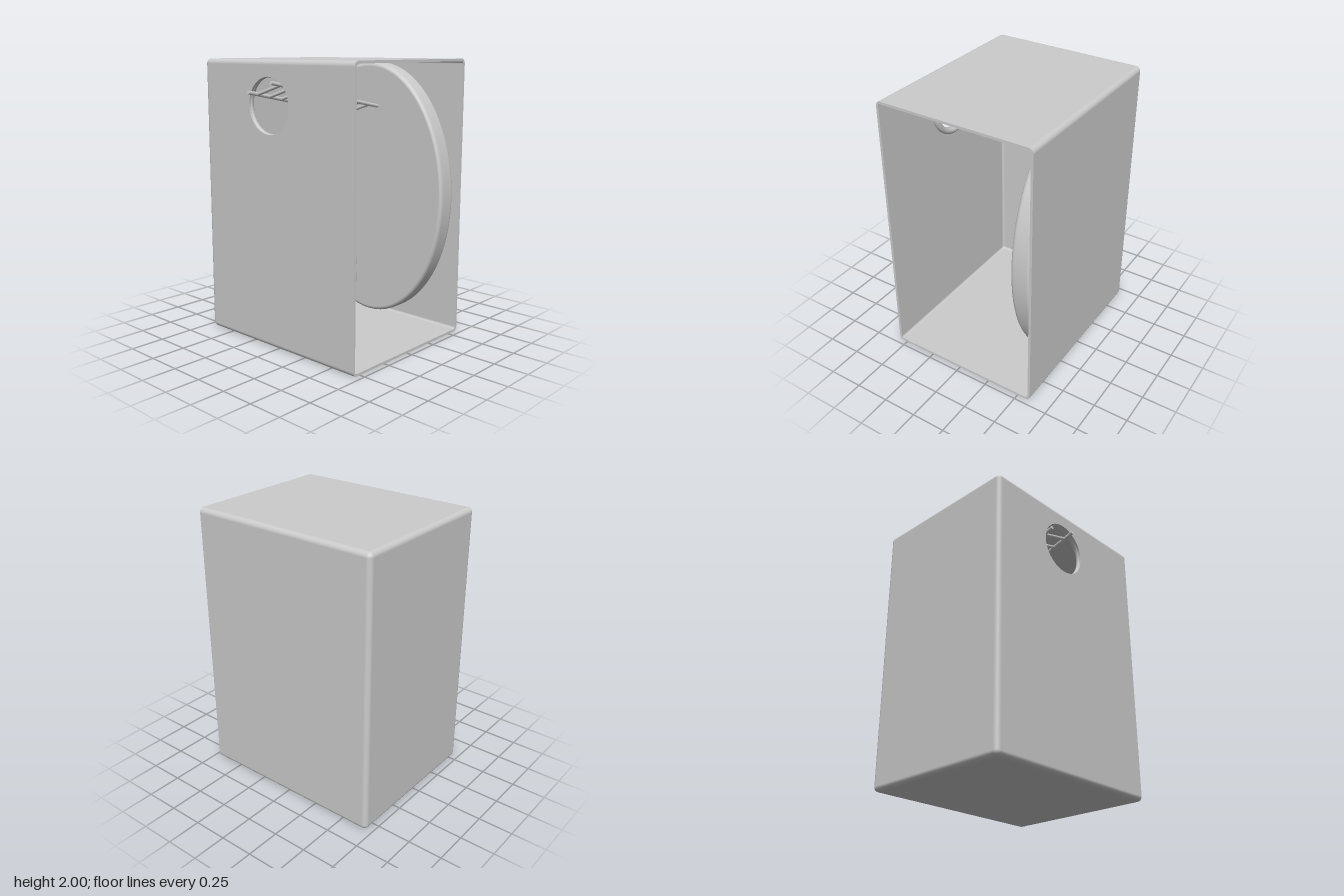
import * as THREE from 'three';
import { RoundedBoxGeometry } from 'three/addons/geometries/RoundedBoxGeometry.js';

const mat = new THREE.MeshStandardMaterial({ color: 0xcccccc });
const sheet = new THREE.MeshStandardMaterial({ color: 0xcccccc, side: THREE.DoubleSide });

const X = 0.71, Z0 = -0.6, Z1 = 0.565;            // room extents
const H = 2, D = Z1 - Z0, ZC = (Z0 + Z1) / 2;
const R = 0.035, T = 0.018;                       // edge radius, wall thickness
const HOLE = { x: -0.05, y: 1.695, r: 0.192 };

function add(parent, name, geo, pos = [0, 0, 0], material = mat) {
  const m = new THREE.Mesh(geo, material);
  m.name = name;
  m.position.set(...pos);
  parent.add(m);
  return m;
}

function box(parent, name, size, pos, r = 0.02) {
  return add(parent, name, new RoundedBoxGeometry(...size, 3, r), pos);
}

// Round bar between two points
function bar(parent, name, a, b, r) {
  const p = new THREE.Vector3(...a), q = new THREE.Vector3(...b);
  const dir = q.clone().sub(p);
  const m = add(parent, name, new THREE.CylinderGeometry(r, r, dir.length(), 10));
  m.position.copy(p).add(q).multiplyScalar(0.5);
  m.quaternion.setFromUnitVectors(new THREE.Vector3(0, 1, 0), dir.normalize());
}

// Rounded box skin, open at +x and without its flat front face
function skin(inset) {
  const r = R - inset;
  const g = new RoundedBoxGeometry(2 * X - inset + r, H - 2 * inset, D - 2 * inset, 4, r);
  g.translate((inset + r) / 2, H / 2, ZC);
  const p = g.attributes.position, n = g.attributes.normal, pos = [], nor = [];
  const sign = inset ? -1 : 1;
  for (let i = 0; i < p.count; i += 3) {
    const tri = inset ? [i, i + 2, i + 1] : [i, i + 1, i + 2];
    const cx = (p.getX(i) + p.getX(i + 1) + p.getX(i + 2)) / 3;
    if (cx > X + 1e-4 || tri.every(k => p.getZ(k) > Z1 - inset - 1e-4)) continue;
    for (const k of tri) {
      pos.push(p.getX(k), p.getY(k), p.getZ(k));
      nor.push(sign * n.getX(k), sign * n.getY(k), sign * n.getZ(k));
    }
  }
  const out = new THREE.BufferGeometry();
  out.setAttribute('position', new THREE.Float32BufferAttribute(pos, 3));
  out.setAttribute('normal', new THREE.Float32BufferAttribute(nor, 3));
  return out;
}

function roundRect(target, w, h, r) {
  const a = w / 2 - r, b = h / 2 - r;
  target.absarc(a, b, r, 0, Math.PI / 2);
  target.absarc(-a, b, r, Math.PI / 2, Math.PI);
  target.absarc(-a, -b, r, Math.PI, Math.PI * 1.5);
  target.absarc(a, -b, r, Math.PI * 1.5, Math.PI * 2);
  target.closePath();
  return target;
}

function buildShell(root) {
  const shell = new THREE.Group();
  shell.name = 'roomShell';
  add(shell, 'outerWalls', skin(0));
  add(shell, 'innerWalls', skin(T));

  // Front wall with the round hatch opening
  const wall = new THREE.Shape([
    [-X + R, R], [X, R], [X, H - R], [-X + R, H - R],
  ].map(c => new THREE.Vector2(...c)));
  wall.holes.push(new THREE.Path().absarc(HOLE.x, HOLE.y, HOLE.r, 0, Math.PI * 2, true));
  add(shell, 'frontWall', new THREE.ExtrudeGeometry(wall, { depth: T, bevelEnabled: false, curveSegments: 32 }), [0, 0, Z1 - T]);

  // Rim closing the wall thickness at the open side
  const rim = roundRect(new THREE.Shape(), D, H, R);
  rim.holes.push(roundRect(new THREE.Path(), D - 2 * T, H - 2 * T, R - T));
  add(shell, 'openRim', new THREE.ShapeGeometry(rim), [X, H / 2, ZC], sheet).rotation.y = Math.PI / 2;

  add(shell, 'hatchRing', new THREE.TorusGeometry(0.212, 0.024, 12, 48), [HOLE.x, HOLE.y, 0.538]);
  root.add(shell);
}

// Oval platform against the back wall
function buildPlatform(root) {
  const r = 0.03, depth = 0.15, pts = [new THREE.Vector2(0, 0)];
  for (const [cy, start] of [[r, -Math.PI / 2], [depth - r, 0]])
    for (let i = 0; i <= 6; i++) {
      const a = start + i / 6 * Math.PI / 2;
      pts.push(new THREE.Vector2(0.96 - r + r * Math.cos(a), cy + r * Math.sin(a)));
    }
  pts.push(new THREE.Vector2(0, depth));
  const g = new THREE.LatheGeometry(pts, 72);
  g.rotateX(Math.PI / 2);
  g.scale(0.67 / 0.96, 1, 1);
  add(root, 'ovalPlatform', g, [0, 1.01, -0.563]);
}

function buildLadder(root) {
  const ladder = new THREE.Group();
  ladder.name = 'ladder';
  const top = [[-0.21, 1.78, 0.6], [0.015, 1.85, 0.6]];
  const foot = [[-0.147, 1.575, -0.42], [0.078, 1.648, -0.42]];
  const at = (k, t) => top[k].map((v, i) => v + (foot[k][i] - v) * t);
  for (const k of [0, 1]) bar(ladder, 'ladderRail', top[k], foot[k], 0.013);
  for (let i = 0; i < 9; i++) {
    const t = 0.08 + i * 0.103;
    bar(ladder, 'ladderRung', at(0, t), at(1, t), 0.012);
  }
  root.add(ladder);
}

// Console with a sloped top and three ball-ended levers
function buildConsole(root, x, y, turn) {
  const c = new THREE.Group();
  c.name = 'console';
  const g = new RoundedBoxGeometry(0.16, 0.25, 0.16, 4, 0.03);
  const p = g.attributes.position;
  for (let i = 0; i < p.count; i++)
    if (p.getZ(i) > 0) p.setZ(i, p.getZ(i) - 0.25 * (p.getX(i) + 0.08));
  g.computeVertexNormals();
  add(c, 'consoleBody', g);
  for (const dy of [-0.07, 0, 0.06]) {
    bar(c, 'leverStick', [0.02, dy + 0.01, 0.04], [0.06, dy, 0.1], 0.008);
    add(c, 'leverBall', new THREE.SphereGeometry(0.016, 14, 10), [0.06, dy, 0.1]);
  }
  c.position.set(x, y, -0.33);
  c.rotation.z = turn;
  root.add(c);
}

// Small robot standing on the platform, looking towards the open side
function buildRobot(root) {
  const r = new THREE.Group();
  r.name = 'robot';
  box(r, 'robotBody', [0.16, 0.25, 0.18], [0, 0, 0], 0.035);
  box(r, 'robotHead', [0.15, 0.2, 0.12], [0, -0.01, 0.155], 0.025);
  for (const s of [-1, 1]) {
    const eye = add(r, 'robotEye', new THREE.CylinderGeometry(0.024, 0.024, 0.012, 20), [0.077, s * 0.042 - 0.01, 0.155]);
    eye.rotation.z = Math.PI / 2;
    box(r, 'robotArm', [0.15, 0.05, 0.06], [0.05, s * 0.105, 0.06], 0.022);
    box(r, 'robotFoot', [0.15, 0.1, 0.06], [0.02, s * 0.065 + 0.02, -0.098], 0.02);
  }
  r.position.set(-0.2, 0.35, -0.282);
  root.add(r);
}

export function createModel() {
  const root = new THREE.Group();
  root.name = 'ladderRoom';
  buildShell(root);
  buildPlatform(root);
  buildLadder(root);
  buildConsole(root, -0.48, 1.325, -0.2);
  buildConsole(root, -0.52, 1.005, 0);
  buildConsole(root, -0.48, 0.685, 0.2);
  buildRobot(root);
  return root;
}
